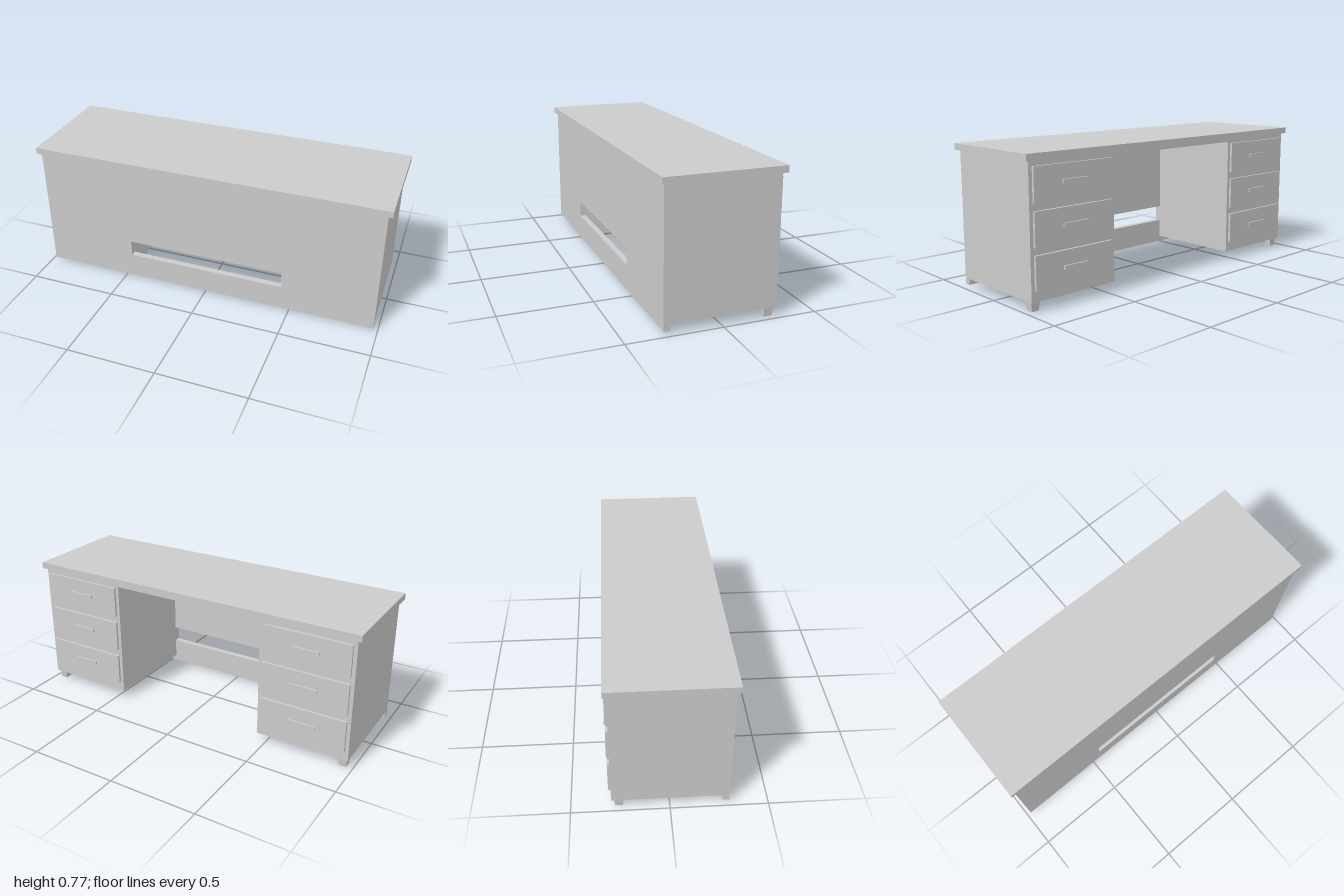
import * as THREE from 'three';

const material = new THREE.MeshStandardMaterial({ color: 0xcccccc, flatShading: true });

export function createModel() {
  const desk = new THREE.Group();
  desk.name = 'desk';

  const add = (name, geometry) => {
    const mesh = new THREE.Mesh(geometry, material);
    mesh.name = name;
    desk.add(mesh);
    return mesh;
  };
  // Box given by its lower and upper limits on each axis
  const box = (name, [x0, x1], [y0, y1], [z0, z1]) =>
    add(name, new THREE.BoxGeometry(x1 - x0, y1 - y0, z1 - z0))
      .position.set((x0 + x1) / 2, (y0 + y1) / 2, (z0 + z1) / 2);

  const outer = 0.977, inner = 0.452, topY = 0.733;
  const backZ = -0.295, panelZ = 0.268;

  // Overhanging top
  box('desktop', [-1, 1], [topY, 0.768], [-0.313, 0.319]);

  // Front panel with a slot between the pedestals
  const panel = new THREE.Shape()
    .moveTo(-outer, 0.017).lineTo(outer, 0.017).lineTo(outer, topY).lineTo(-outer, topY).closePath();
  panel.holes.push(new THREE.Path()
    .moveTo(-inner, 0.158).lineTo(-inner, 0.25).lineTo(inner, 0.25).lineTo(inner, 0.158).closePath());
  add('frontPanel', new THREE.ExtrudeGeometry(panel, { depth: 0.034, bevelEnabled: false }))
    .position.z = panelZ;

  // Shallow support over the knee space
  box('kneeSpaceTop', [-inner, inner], [topY - 0.018, topY], [backZ, panelZ]);

  for (const side of [-1, 1]) {
    const label = side > 0 ? 'left' : 'right';
    const span = (a, b) => (side > 0 ? [a, b] : [-b, -a]);

    box(`${label}Pedestal`, span(inner, outer), [0.05, topY], [backZ, panelZ]);

    // Three drawer fronts with bar handles
    [0.193, 0.406, 0.619].forEach((y, i) => {
      box(`${label}Drawer${i + 1}`, span(0.472, 0.957), [y - 0.087, y + 0.087], [-0.308, backZ]);
      box(`${label}Handle${i + 1}`, span(0.64, 0.79), [y - 0.01, y + 0.01], [-0.317, -0.308]);
    });

    // Tapered square foot under the outer back corner
    const foot = new THREE.CylinderGeometry(0.025 * Math.SQRT2, 0.02 * Math.SQRT2, 0.05, 4)
      .rotateY(Math.PI / 4);
    add(`${label}Foot`, foot).position.set(side * 0.944, 0.025, -0.256);
  }

  return desk;
}
